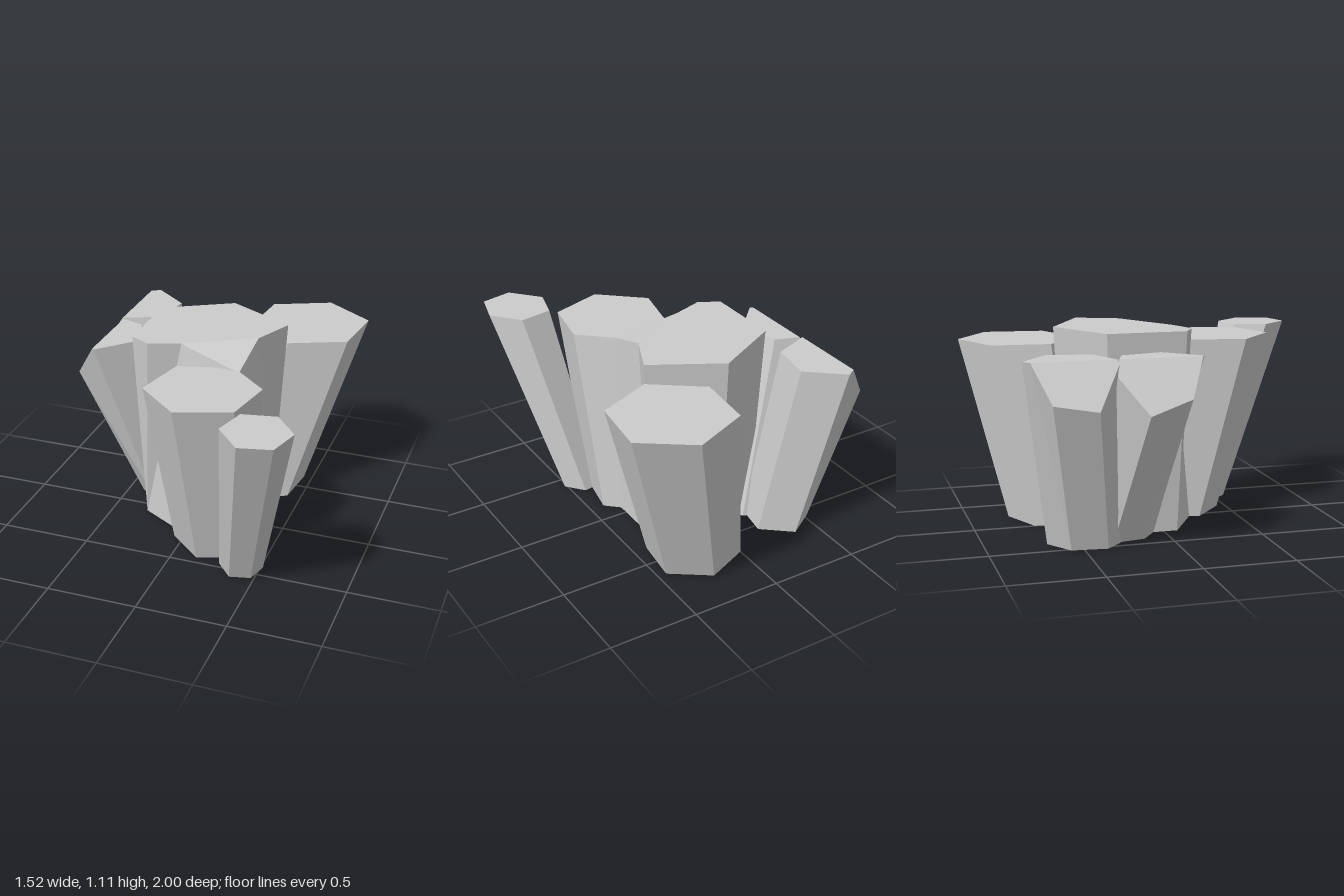
import * as THREE from 'three';

const material = new THREE.MeshStandardMaterial({ color: 0xcccccc, flatShading: true });
const SLOPE = 1.55; // fall of a broken top beyond its ridge

// Leaning hexagonal columns. The outline is the top's [x, z] corners, clockwise from above;
// the foot is the same outline scaled and shifted. Left of a ridge x the top slopes down.
const leaning = [
  {
    name: 'backColumn', height: 1.0, scale: 0.76, shift: [-0.12, -0.01],
    outline: [[0.475, -1], [0.75, -0.805], [0.71, -0.465], [0.4, -0.33], [0.13, -0.53], [0.16, -0.86]],
  },
  {
    name: 'frontColumn', height: 1.023, scale: 0.8, shift: [0.05, -0.137],
    outline: [[0.24, 0.13], [0.46, 0.33], [0.405, 0.63], [0.11, 0.735], [-0.13, 0.525], [-0.06, 0.21]],
  },
  {
    name: 'smallFrontColumn', height: 1.033, scale: 0.65, shift: [0.02, -0.08],
    outline: [[0.445, 0.655], [0.63, 0.62], [0.76, 0.775], [0.71, 0.96], [0.535, 1], [0.395, 0.84]],
  },
  {
    name: 'backRightColumn', height: 1.012, scale: 0.83, shift: [0.09, 0.012], ridge: -0.6,
    outline: [[-0.55, -0.82], [-0.355, -0.66], [-0.395, -0.42], [-0.615, -0.33], [-0.755, -0.465], [-0.73, -0.7]],
  },
  {
    name: 'frontRightColumn', height: 1.01, scale: 0.77, shift: [0.145, -0.165], ridge: -0.59,
    outline: [[-0.455, -0.28], [-0.4, -0.05], [-0.575, 0.135], [-0.72, 0.03], [-0.765, -0.205], [-0.645, -0.345]],
  },
];

// Joins a ring of { top, foot } corners with sides, top facets and an underside
function makeColumn(name, ring, facets) {
  const points = [];
  const triangle = (a, b, c) => {
    if (!a.equals(b) && !b.equals(c) && !c.equals(a)) points.push(a, b, c);
  };
  const fan = (p) => {
    for (let k = 1; k < p.length - 1; k++) triangle(p[0], p[k + 1], p[k]);
  };
  ring.forEach((a, i) => {
    const b = ring[(i + 1) % ring.length];
    triangle(a.foot, a.top, b.top);
    triangle(a.foot, b.top, b.foot);
  });
  facets.forEach(fan);
  fan(ring.map((c) => c.foot).reverse());

  const geometry = new THREE.BufferGeometry().setFromPoints(points);
  geometry.computeVertexNormals();
  const mesh = new THREE.Mesh(geometry, material);
  mesh.name = name;
  return mesh;
}

function makeLeaningColumn({ name, height, scale, shift, outline, ridge = -Infinity }) {
  // Add a corner wherever the ridge crosses the outline
  const corners = outline.flatMap(([x, z], i) => {
    const [nx, nz] = outline[(i + 1) % outline.length];
    const crosses = (x - ridge) * (nx - ridge) < 0;
    return crosses ? [[x, z], [ridge, z + ((nz - z) * (ridge - x)) / (nx - x)]] : [[x, z]];
  });
  const ring = corners.map(([x, z]) => ({
    top: new THREE.Vector3(x, height - SLOPE * Math.max(0, ridge - x), z),
    foot: new THREE.Vector3(x * scale + shift[0], 0, z * scale + shift[1]),
  }));
  const tops = ring.map((c) => c.top);
  return makeColumn(name, ring, [tops.filter((p) => p.x >= ridge), tops.filter((p) => p.x <= ridge)]);
}

// Tall middle column: a regular hexagonal foot under a top with a chipped front corner
function makeCentreColumn() {
  const feet = Array.from({ length: 6 }, (_, i) => {
    const angle = (i * Math.PI) / 3;
    return new THREE.Vector3(0.02 + 0.37 * Math.sin(angle), 0, -0.11 - 0.37 * Math.cos(angle));
  });
  const outline = [
    [0.02, -0.54], [0.4, -0.33], [0.3, -0.1], [0.28, 0.175],
    [-0.07, 0.11], [-0.24, 0.17], [-0.355, 0.11], [-0.355, -0.33],
  ];
  const chip = 3;
  const tops = outline.map(([x, z], i) => new THREE.Vector3(x, i === chip ? 1.02 : 1.11, z));
  // Foot corners that each top corner reaches down to
  const reach = [[0], [1], [2], [2, 3], [3, 4], [4], [4], [5]];
  const ring = reach.flatMap((list, i) => list.map((f) => ({ top: tops[i], foot: feet[f] })));
  const flat = tops.filter((_, i) => i !== chip);
  return makeColumn('centreColumn', ring, [flat, tops.slice(chip - 1, chip + 2)]);
}

export function createModel() {
  const group = new THREE.Group();
  group.name = 'rockColumns';
  group.add(makeCentreColumn(), ...leaning.map(makeLeaningColumn));
  return group;
}
